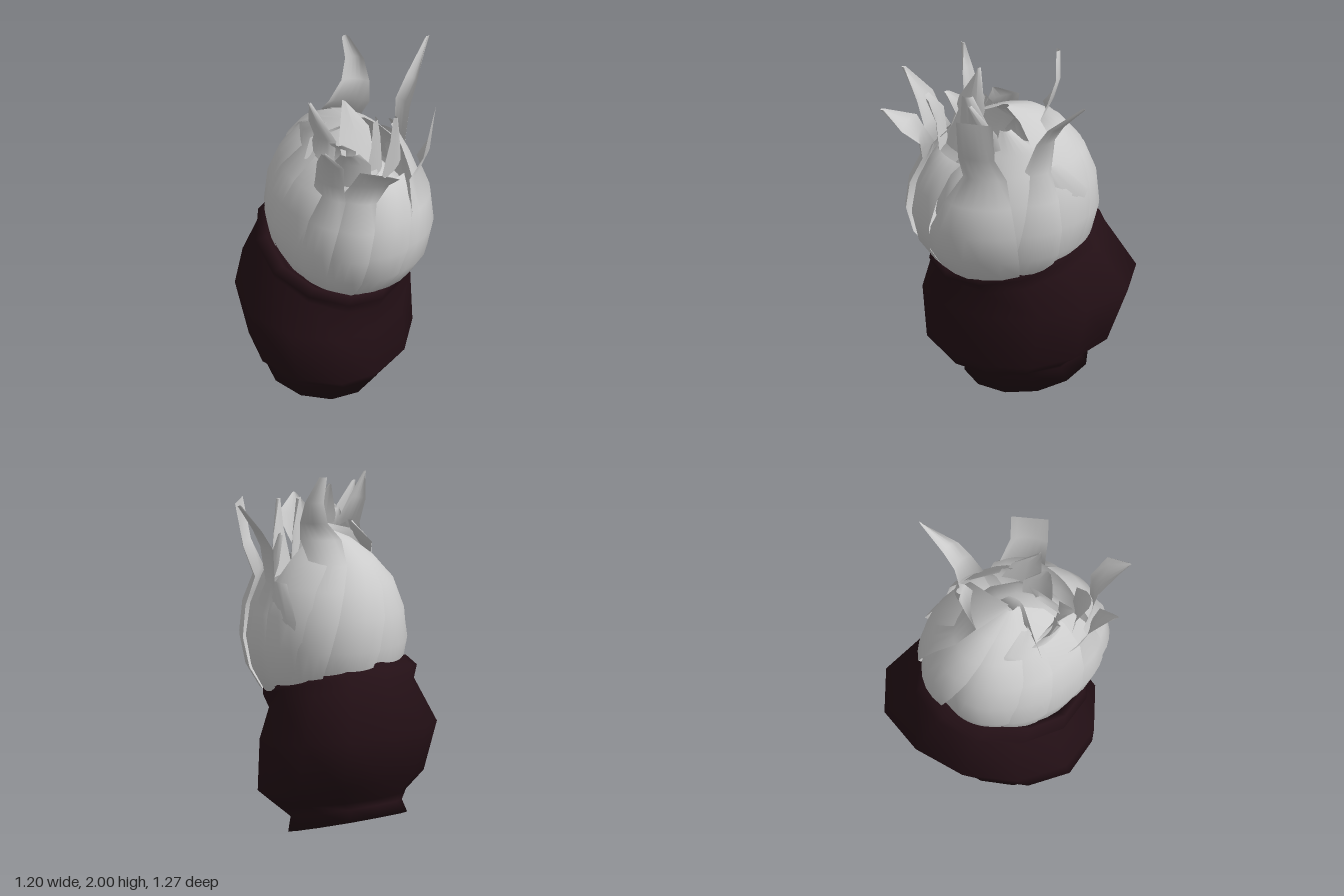
import * as THREE from 'three';
import { mergeVertices } from 'three/addons/utils/BufferGeometryUtils.js';

const leafMat = new THREE.MeshStandardMaterial({ color: 0xcccccc, side: THREE.DoubleSide });
const potMat = new THREE.MeshStandardMaterial({ color: 0x241016, side: THREE.DoubleSide });
const rad = THREE.MathUtils.degToRad;

// Smooth skin over rows of points, all rows the same length
function skin(name, rows, mat) {
  const n = rows[0].length, index = [];
  for (let r = 0; r < rows.length - 1; r++)
    for (let c = 0; c < n - 1; c++) {
      const a = r * n + c, b = a + n;
      index.push(a, a + 1, b, a + 1, b + 1, b);
    }
  let g = new THREE.BufferGeometry();
  g.setAttribute('position', new THREE.Float32BufferAttribute(rows.flat(2), 3));
  g.setIndex(index);
  g = mergeVertices(g, 1e-5);
  g.computeVertexNormals();
  const mesh = new THREE.Mesh(g, mat);
  mesh.name = name;
  return mesh;
}

// Bulb outline: height, relative radius across x, relative radius along z
const PROFILE = [[0.74, 0.62, 0.62], [0.8, 0.77, 0.76], [0.92, 0.93, 0.93], [1.08, 1.0, 1.01],
  [1.25, 0.95, 0.98], [1.4, 0.82, 0.86], [1.52, 0.56, 0.68], [1.61, 0.3, 0.42], [1.66, 0.05, 0.06]];

// The bulb leans to its right at the front and slightly to its left at the back
function bulbPoint(deg, [y, rx, rz], scale) {
  const a = rad(deg), c = Math.cos(a), lean = rx * (c > 0 ? 0.07 : 0.04) * c;
  return [-0.04 + 0.43 * rx * scale * Math.sin(a) - lean, y, 0.03 + 0.5 * rz * scale * c];
}

// Free strip row: centre, half width, outward direction and cupping
function tipRow([x, y, z, hw, deg, cup = 0.02], cols) {
  const a = rad(deg), row = [];
  for (let c = 0; c < cols; c++) {
    const s = c / (cols - 1) * 2 - 1, k = cup * s * s;
    row.push([x + Math.cos(a) * hw * s - Math.sin(a) * k, y, z - Math.sin(a) * hw * s - Math.cos(a) * k]);
  }
  return row;
}

// Leaf swirling up the bulb from angle a0 to a1, half widths w0 to w1, then a free tip
function leaf(name, a0, a1, w0, w1, yEnd, scale, tip = []) {
  const cols = 7, levels = PROFILE.filter(p => p[0] <= yEnd + 0.001);
  const rows = levels.map((level, i) => {
    const t = i / (levels.length - 1), mid = a0 + (a1 - a0) * t, w = w0 + (w1 - w0) * t;
    return Array.from({ length: cols }, (_, c) => {
      const s = c / (cols - 1) * 2 - 1;
      // one edge lifts over the neighbouring leaf, the other tucks in
      return bulbPoint(mid + w * s, level, scale + 0.045 * s - 0.045 * s * s);
    });
  });
  tip.forEach(t => rows.push(tipRow(t, cols)));
  return skin(name, rows, leafMat);
}

function createModel() {
  const model = new THREE.Group();

  // Tilted pot rings: front z,y; back z,y; least x, greatest x; sideways lean
  const rings = [
    [-0.13, 0.09, -0.15, 0.09, -0.08, -0.06, 0],
    [0.16, 0.005, -0.44, 0.16, -0.42, 0.28, 0.03], [0.165, 0.09, -0.41, 0.22, -0.4, 0.25, 0.03],
    [0.29, 0.16, -0.43, 0.26, -0.46, 0.31, 0.05], [0.345, 0.23, -0.51, 0.37, -0.57, 0.43, 0.07],
    [0.35, 0.52, -0.64, 0.65, -0.6, 0.46, 0.1], [0.33, 0.64, -0.52, 0.92, -0.47, 0.34, 0.05],
    [0.37, 0.71, -0.5, 0.98, -0.51, 0.35, 0.04], [0.37, 0.77, -0.41, 1.02, -0.48, 0.32, 0.03],
    [0.33, 0.74, -0.38, 0.98, -0.43, 0.29, 0.03], [0.24, 0.6, -0.32, 0.75, -0.36, 0.22, 0],
    [-0.03, 0.6, -0.05, 0.62, -0.08, -0.06, 0]];
  const sides = 12;
  model.add(skin('pot', rings.map(([zf, yf, zb, yb, x0, x1, lean]) =>
    Array.from({ length: sides + 1 }, (_, i) => {
      const a = (i % sides) / sides * Math.PI * 2, c = Math.cos(a), s = Math.sin(a);
      // fuller towards the front right corner
      const full = 1 + lean * Math.max(0, -s * c) * 1.4;
      return [(x0 + x1) / 2 + (x1 - x0) / 2 * s * (s < 0 && c > 0 ? 1 : full) - lean * c * (s < 0 && c > 0 ? 0.6 : 1),
        (yf + yb) / 2 + (yf - yb) / 2 * c, (zf + zb) / 2 + (zf - zb) / 2 * c * full];
    })), potMat));

  // Solid heart of the bulb
  const core = new THREE.Mesh(new THREE.SphereGeometry(1, 14, 10), leafMat);
  core.name = 'bulbCore';
  core.scale.set(0.35, 0.38, 0.39);
  core.position.set(-0.05, 1.03, 0.01);
  model.add(core);

  // Front leaves
  model.add(
    leaf('frontMiddleLeaf', -40, -8, 28, 25, 1.4, 0.97, [[-0.1, 1.45, 0.38, 0.13, -8]]),
    leaf('frontLeftLeaf', 22, 44, 50, 17, 1.4, 1.03,
      [[0.19, 1.55, 0.41, 0.1, 38], [0.205, 1.78, 0.43, 0.1, 38, 0]]),
    leaf('frontRightLeaf', -66, -38, 24, 16, 1.4, 1.02,
      [[-0.27, 1.52, 0.43, 0.1, -45], [-0.28, 1.62, 0.51, 0.11, -60], [-0.35, 1.71, 0.63, 0.01, -40]]),
    leaf('rightFrontLeaf', -94, -64, 24, 16, 1.4, 1.01,
      [[-0.4, 1.5, 0.24, 0.09, -75], [-0.43, 1.65, 0.28, 0.08, -70], [-0.53, 1.8, 0.34, 0.01, -60]]),
    leaf('leftFrontLeaf', 44, 68, 28, 20, 1.4, 0.97,
      [[0.22, 1.5, 0.15, 0.12, 60], [0.15, 1.63, 0.17, 0.03, 60]]));

  // Side leaves with long tips
  model.add(
    leaf('leftLongLeaf', 70, 84, 26, 10, 1.4, 1.02,
      [[0.355, 1.6, 0.05, 0.06, 85], [0.43, 1.71, 0.04, 0.05, 80], [0.595, 1.88, -0.015, 0.005, 80]]),
    leaf('rightLongLeaf', -118, -88, 26, 20, 1.52, 1.0,
      [[-0.28, 1.66, 0.08, 0.07, -75], [-0.33, 1.78, 0.07, 0.05, -70], [-0.37, 1.92, 0.06, 0.005, -70]]),
    leaf('rightInnerLeaf', -100, -70, 30, 28, 1.52, 0.93,
      [[-0.24, 1.62, 0.16, 0.09, -70], [-0.31, 1.7, 0.22, 0.02, -70]]),
    leaf('rightBackLeaf', -146, -112, 22, 20, 1.52, 1.02,
      [[-0.23, 1.6, -0.1, 0.1, -100], [-0.2, 1.69, -0.02, 0.02, -90]]));

  // Back leaves swirl up and close over the crown
  for (let i = 0; i < 7; i++) {
    const a = 92 + i * 24;
    model.add(leaf('backLeaf', a, a + 40, 20, 36, 1.66, i % 2 ? 0.95 : 1.01));
  }
  model.add(leaf('backLongLeaf', 104, 138, 22, 22, 1.52, 1.02,
    [[0.11, 1.64, -0.13, 0.11, 138], [0.17, 1.74, -0.14, 0.075, 132],
      [0.19, 1.86, -0.17, 0.05, 135], [0.15, 2, -0.2, 0.02, 140]]));

  // Loose flap and the short petals standing in the open crown
  const loose = {
    leftBackFlap: [[0.31, 0.88, 0, 0.1, 95], [0.35, 1.08, -0.05, 0.11, 88], [0.36, 1.24, -0.08, 0.14, 82],
      [0.31, 1.42, 0, 0.07, 85]],
    innerPointedPetal: [[-0.15, 1.42, 0.27, 0.11, 0], [-0.14, 1.68, 0.19, 0.11, 0], [-0.155, 1.87, 0.12, 0.004, 0]],
    innerMiddlePetal: [[-0.04, 1.4, 0.24, 0.09, 15], [-0.03, 1.62, 0.25, 0.08, 30], [-0.06, 1.78, 0.27, 0.03, 40]],
    innerLeftPetal: [[0.08, 1.38, 0.25, 0.12, 20], [0.08, 1.62, 0.28, 0.08, 30], [0.03, 1.78, 0.33, 0.01, 30]],
    innerRightPetal: [[-0.27, 1.38, 0.28, 0.11, -50], [-0.28, 1.6, 0.3, 0.1, -50], [-0.33, 1.7, 0.34, 0.05, -40]],
    crownFold: [[-0.18, 1.5, 0.04, 0.15, -20], [-0.12, 1.62, 0.02, 0.16, -10], [-0.05, 1.67, 0.08, 0.06, 0]],
  };
  for (const [name, rows] of Object.entries(loose))
    model.add(skin(name, rows.map(r => tipRow(r, 5)), leafMat));

  return model;
}

export { createModel };
